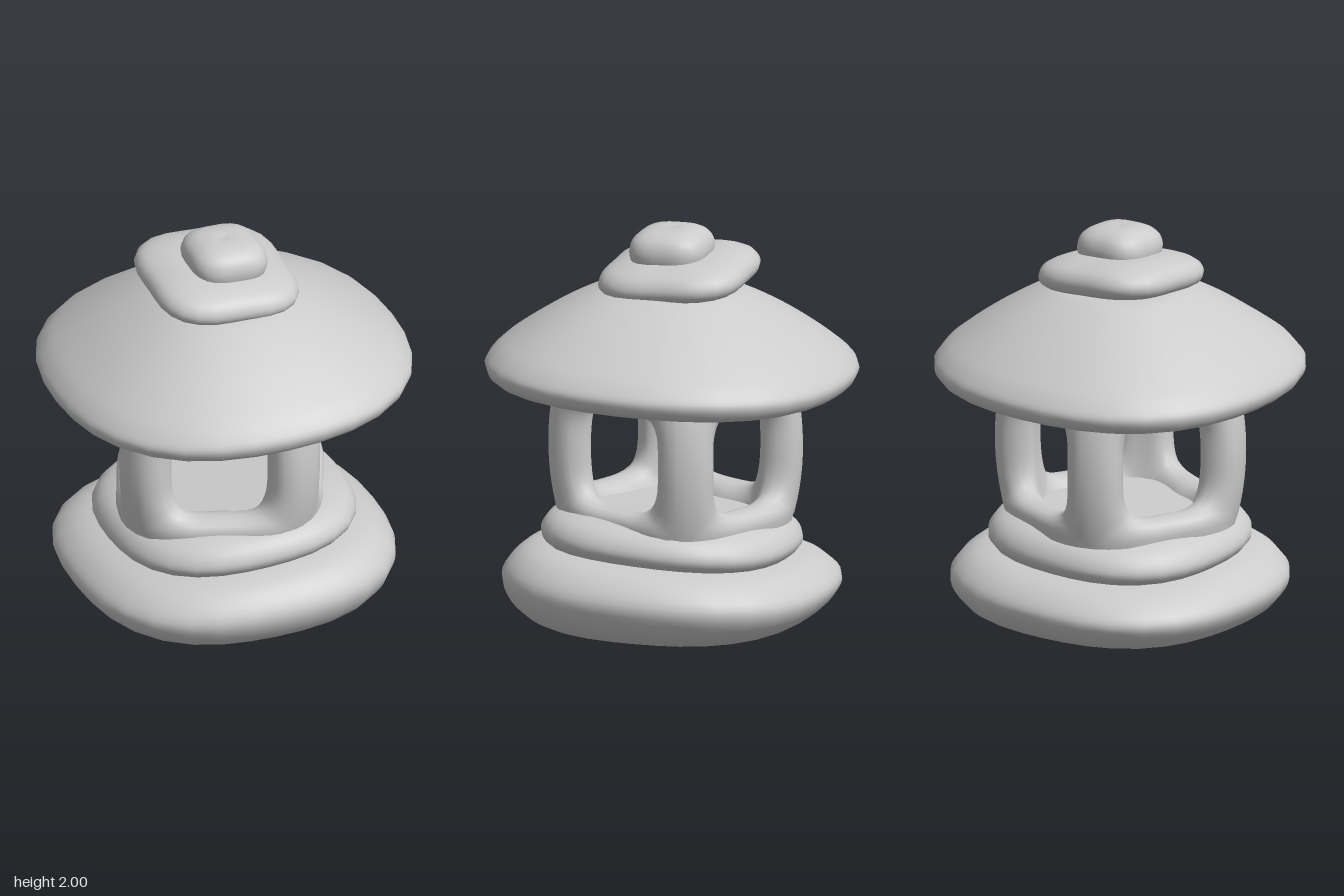
import * as THREE from 'three';
import { mergeVertices } from 'three/addons/utils/BufferGeometryUtils.js';

const material = new THREE.MeshStandardMaterial({ color: 0xcccccc });

// Weld seams and smooth the normals
function smooth(geometry) {
  geometry.deleteAttribute('uv');
  geometry.deleteAttribute('normal');
  const welded = mergeVertices(geometry, 1e-4);
  welded.computeVertexNormals();
  return welded;
}

// Rounded diamond outline: full radius on the corners, k less on the flats
const diamond = (angle, k) => 1 - k * (1 - Math.cos(4 * angle)) / 2;

// Stone slab: a lathe squeezed to a diamond, with its height sheared along x
function slab(name, profile, { k, sz = 1, x = 0, tilt }) {
  const curve = new THREE.SplineCurve(profile.map(([r, y]) => new THREE.Vector2(r, y)));
  const points = curve.getPoints(profile.length * 4);
  points.forEach(p => { p.x = Math.max(p.x, 0); });
  const geometry = new THREE.LatheGeometry(points, 32);
  const pos = geometry.attributes.position;
  for (let i = 0; i < pos.count; i++) {
    const px = pos.getX(i), py = pos.getY(i), pz = pos.getZ(i);
    const f = diamond(Math.atan2(px, pz), k);
    pos.setXYZ(i, px * f + x, py + px * f * tilt(py), pz * f * sz);
  }
  const mesh = new THREE.Mesh(smooth(geometry), material);
  mesh.name = name;
  return mesh;
}

// Hollow chamber: four curved panels, each with a rounded opening; panels meet as pillars
function chamber() {
  const AROUND = 64, TURN = -0.38, MID = 0.91, HALF = 0.37;
  // [blend from panel edge to opening, depth into the wall]
  const stations = [[0, 0], [0.3, 0], [0.55, 0.008], [0.78, 0.025], [0.93, 0.055], [1, 0.1],
    [0.93, 0.145], [0.78, 0.175], [0.55, 0.19], [0.3, 0.2], [0, 0.2]];
  const positions = [], indices = [];
  for (let panel = 0; panel < 4; panel++) {
    const start = positions.length / 3;
    stations.forEach(([s, depth], i) => {
      for (let j = 0; j < AROUND; j++) {
        const t = (j / AROUND) * Math.PI * 2, c = Math.cos(t), n = Math.sin(t);
        const edge = 1 / Math.max(Math.abs(c), Math.abs(n));
        const hole = Math.pow(Math.abs(c) ** 4 + Math.abs(n) ** 4, -1 / 4);
        const u = c * THREE.MathUtils.lerp(edge, hole * 0.66, s);
        const v = n * THREE.MathUtils.lerp(edge, hole * 0.7, s);
        const local = (u + 1) * Math.PI / 4;
        const a = TURN + panel * Math.PI / 2 + local;
        const r = (0.62 - 0.05 * v * v) * diamond(local, 0.13) - depth;
        const x = r * Math.sin(a) - 0.02;
        positions.push(x, MID + v * HALF + 0.03 * x, r * Math.cos(a));
        if (i < stations.length - 1) {
          const p = start + i * AROUND + j, q = start + i * AROUND + (j + 1) % AROUND;
          indices.push(p, q, p + AROUND, q, q + AROUND, p + AROUND);
        }
      }
    });
  }
  const geometry = new THREE.BufferGeometry();
  geometry.setAttribute('position', new THREE.Float32BufferAttribute(positions, 3));
  geometry.setIndex(indices);
  const mesh = new THREE.Mesh(smooth(geometry), material);
  mesh.name = 'lightChamber';
  return mesh;
}

export function createModel() {
  const model = new THREE.Group();
  model.name = 'stoneLantern';
  model.add(
    // Bottom stone: flat underneath, leaning more towards its top
    slab('base', [[0, 0], [0.3, 0.005], [0.6, 0.035], [0.78, 0.11], [0.865, 0.24], [0.79, 0.345],
      [0.65, 0.4], [0.4, 0.42], [0, 0.42]], { k: 0.07, sz: 0.96, tilt: y => 0.2 * y }),
    slab('collar', [[0, 0.36], [0.5, 0.365], [0.61, 0.39], [0.665, 0.46], [0.61, 0.545],
      [0.47, 0.59], [0.3, 0.595], [0, 0.595]], { k: 0.07, sz: 0.97, tilt: () => 0.075 }),
    chamber(),
    // Wide domed roof
    slab('roof', [[0, 1.2], [0.5, 1.2], [0.85, 1.22], [0.94, 1.295], [0.9, 1.37], [0.8, 1.45],
      [0.61, 1.57], [0.41, 1.67], [0.28, 1.705], [0, 1.71]], { k: 0.05, sz: 0.965, tilt: () => 0.045 }),
    // Two stacked finial stones
    slab('finialDisc', [[0, 1.7], [0.3, 1.7], [0.39, 1.715], [0.42, 1.765], [0.385, 1.82],
      [0.29, 1.855], [0.17, 1.87], [0, 1.87]], { k: 0.14, sz: 0.965, x: -0.04, tilt: () => -0.07 }),
    slab('finialKnob', [[0, 1.8], [0.18, 1.82], [0.22, 1.88], [0.205, 1.945], [0.15, 1.985],
      [0.07, 2], [0, 1.995]], { k: 0.12, sz: 0.95, tilt: () => -0.02 })
  );
  return model;
}
